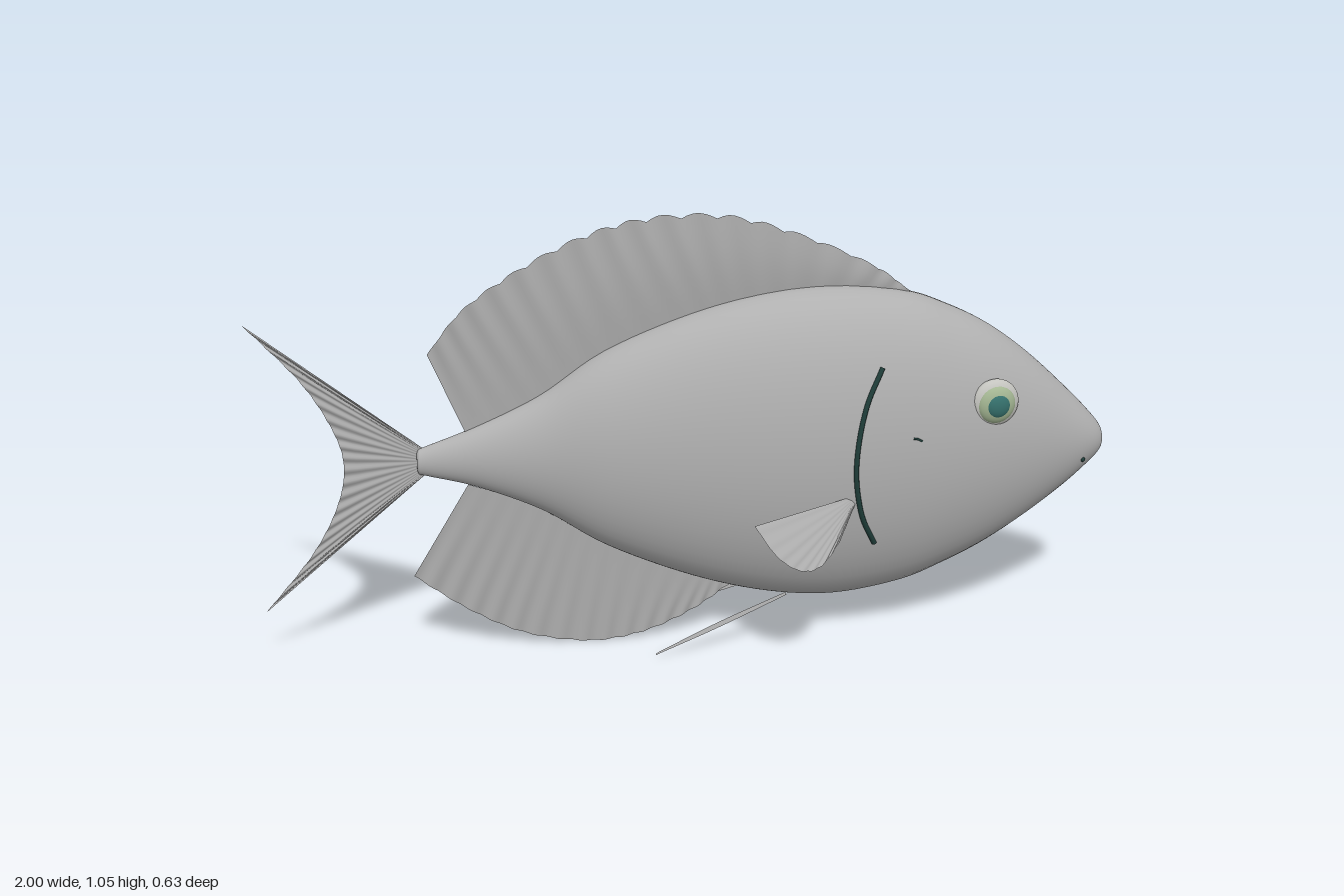
import * as THREE from 'three';

const V = (x, y, z = 0) => new THREE.Vector3(x, y, z);
const mat = (name, color, side = THREE.FrontSide) => {
  const m = new THREE.MeshStandardMaterial({ color, side });
  m.name = name;
  return m;
};

// Surface through rows of points; closed joins each row into a ring
function grid(rows, closed = false) {
  const n = rows[0].length, idx = [];
  const cols = closed ? n : n - 1;
  for (let i = 0; i < rows.length - 1; i++) {
    for (let j = 0; j < cols; j++) {
      const a = i * n + j, b = i * n + (j + 1) % n;
      idx.push(a, b, a + n, b, b + n, a + n);
    }
  }
  const g = new THREE.BufferGeometry().setFromPoints(rows.flat());
  g.setIndex(idx);
  g.computeVertexNormals();
  return g;
}

const curve = (pts) => new THREE.CatmullRomCurve3(pts.map((p) => V(...p)), false, 'catmullrom', 0.5);

// Body stations: x, top, bottom, half width
const STATIONS = [
  [-0.635, 0.487, 0.487, 0], [-0.632, 0.515, 0.46, 0.018], [-0.61, 0.525, 0.452, 0.022],
  [-0.5, 0.565, 0.42, 0.041], [-0.35, 0.635, 0.353, 0.068], [-0.2, 0.735, 0.255, 0.11],
  [0, 0.815, 0.165, 0.14], [0.18, 0.857, 0.113, 0.159], [0.34, 0.867, 0.097, 0.165],
  [0.5, 0.848, 0.12, 0.157], [0.6, 0.812, 0.157, 0.147], [0.7, 0.76, 0.205, 0.13],
  [0.8, 0.685, 0.268, 0.105], [0.9, 0.592, 0.343, 0.073], [0.96, 0.53, 0.397, 0.049],
  [0.99, 0.492, 0.428, 0.026], [1, 0.457, 0.457, 0],
];
const outline = curve(STATIONS.map((s) => [s[0], s[1], s[2]]));
const widths = curve(STATIONS.map((s) => [s[3], 0, 0]));
const sections = Array.from({ length: 97 }, (_, i) => {
  const p = outline.getPoint(i / 96);
  return { x: p.x, c: (p.y + p.z) / 2, h: Math.max(0, (p.y - p.z) / 2), w: Math.max(0, widths.getPoint(i / 96).x) };
});

// Half width of the body surface at a side point
function skin(x, y) {
  const k = Math.max(1, sections.findIndex((s) => s.x >= x));
  const a = sections[k - 1], b = sections[k], t = (x - a.x) / (b.x - a.x);
  const mix = (key) => a[key] + (b[key] - a[key]) * t;
  return mix('w') * Math.sqrt(Math.max(0, 1 - ((y - mix('c')) / mix('h')) ** 2));
}

// Fin between a root line and an outer edge, with ray ripples
function finGeometry(root, edge, { rays = 20, ripple = 0.003, bow = 0, scallop = 0 } = {}) {
  const a = curve(root), b = curve(edge), n = rays * 6, rows = [];
  for (let i = 0; i <= n; i++) {
    const t = i / n, p = a.getPoint(t), q = b.getPoint(t);
    const wave = Math.sin(t * rays * Math.PI * 2);
    q.y += scallop * Math.abs(Math.sin(t * rays * Math.PI)) * Math.sin(t * Math.PI);
    rows.push(Array.from({ length: 7 }, (_, j) => {
      const v = j / 6, r = p.clone().lerp(q, v);
      r.z += ripple * wave * v + bow * Math.sin(v * Math.PI) * Math.sin(t * Math.PI);
      return r;
    }));
  }
  return grid(rows);
}

export function createModel() {
  const group = new THREE.Group();
  group.name = 'fish';
  const skinMat = mat('body grey', 0xb0b0b0);
  const finMat = mat('fin grey', 0xaaaaaa, THREE.DoubleSide);
  const lidMat = mat('eye rim grey', 0xc4c4bf);
  const irisMat = mat('pale green', 0xa3b592);
  const pupilMat = mat('teal', 0x35706c);
  const darkMat = mat('dark teal', 0x1f3d39);

  const add = (name, geometry, material, parent = group) => {
    const m = new THREE.Mesh(geometry, material);
    m.name = name;
    parent.add(m);
    return m;
  };

  // Body
  const rings = sections.map((s) => Array.from({ length: 48 }, (_, j) => {
    const a = j / 48 * Math.PI * 2;
    return V(s.x, s.c + s.h * Math.cos(a), s.w * Math.sin(a));
  }));
  add('body', grid(rings, true), skinMat);

  // Dorsal fin
  add('dorsalFin', finGeometry(
    [[0.51, 0.84], [0.34, 0.855], [0.15, 0.84], [0, 0.805], [-0.2, 0.725], [-0.35, 0.625], [-0.52, 0.55]],
    [[0.51, 0.848], [0.42, 0.91], [0.25, 0.985], [0.08, 1.033], [-0.1, 1.033], [-0.25, 0.995],
      [-0.4, 0.922], [-0.52, 0.84], [-0.6, 0.745]],
    { rays: 18, bow: 0.008, scallop: 0.012 }), finMat);

  // Anal fin
  add('analFin', finGeometry(
    [[0.1, 0.145], [0, 0.175], [-0.2, 0.265], [-0.35, 0.36], [-0.52, 0.425]],
    [[0.1, 0.135], [0, 0.067], [-0.12, 0.017], [-0.25, 0.003], [-0.4, 0.035], [-0.53, 0.105], [-0.655, 0.2]],
    { rays: 16 }), finMat);

  // Forked tail
  add('tailFin', finGeometry(
    [[-0.615, 0.517], [-0.615, 0.487], [-0.615, 0.457]],
    [[-1, 0.832], [-0.885, 0.695], [-0.82, 0.575], [-0.8, 0.484], [-0.822, 0.385], [-0.885, 0.27], [-1, 0.13]],
    { rays: 18 }), finMat);

  for (const s of [1, -1]) {
    const side = new THREE.Group();
    side.name = s > 0 ? 'leftSide' : 'rightSide';
    group.add(side);
    const flip = (pts) => pts.map(([x, y, z]) => [x, y, z * s]);

    // Pectoral fin
    add('pectoralFin', finGeometry(
      flip([[0.365, 0.407, 0.15], [0.365, 0.4, 0.15], [0.365, 0.393, 0.15]]),
      flip([[0.108, 0.39, 0.253], [0.15, 0.335, 0.3], [0.2, 0.302, 0.313], [0.25, 0.3, 0.297],
        [0.3, 0.33, 0.25], [0.34, 0.37, 0.19]]),
      { rays: 10, ripple: 0.002 }), finMat, side);

    // Slender pelvic fin
    add('pelvicFin', finGeometry(
      flip([[0.22, 0.125, 0.055], [0.05, 0.066, 0.078], [-0.1, 0.014, 0.113]]),
      flip([[0.22, 0.125, 0.07], [0.05, 0.064, 0.099], [-0.1, 0.012, 0.117]]),
      { rays: 4, ripple: 0 }), finMat, side);

    // Eye as stacked shallow domes
    const eye = new THREE.Group();
    eye.name = 'eye';
    eye.position.set(0.692, 0.604, s * 0.114);
    eye.rotation.y = s * 0.1;
    side.add(eye);
    for (const [name, r, z, depth, m] of [
      ['eyeRim', 0.058, 0, 0.024, lidMat],
      ['iris', 0.046, 0.01, 0.021, irisMat],
      ['pupil', 0.031, 0.019, 0.0155, pupilMat],
    ]) {
      const dome = add(name, new THREE.SphereGeometry(r, 32, 20), m, eye);
      dome.scale.z = depth / r;
      dome.position.z = s * z;
    }

    // Gill slit and small cheek mark follow the body surface
    const line = (name, pts, radius) => {
      const base = curve(pts);
      const path = new THREE.CatmullRomCurve3(base.getPoints(24).map((p) => V(p.x, p.y, s * skin(p.x, p.y))));
      add(name, new THREE.TubeGeometry(path, 40, radius, 8), darkMat, side);
    };
    line('gillSlit', [[0.42, 0.708], [0.383, 0.63], [0.363, 0.54], [0.36, 0.45], [0.378, 0.355], [0.413, 0.278]], 0.006);
    line('cheekMark', [[0.492, 0.542], [0.502, 0.54], [0.513, 0.534]], 0.0025);

    // Nostril
    const nostril = add('nostril', new THREE.SphereGeometry(0.006, 12, 8), darkMat, side);
    nostril.position.set(0.937, 0.425, s * skin(0.937, 0.425));
  }
  return group;
}
